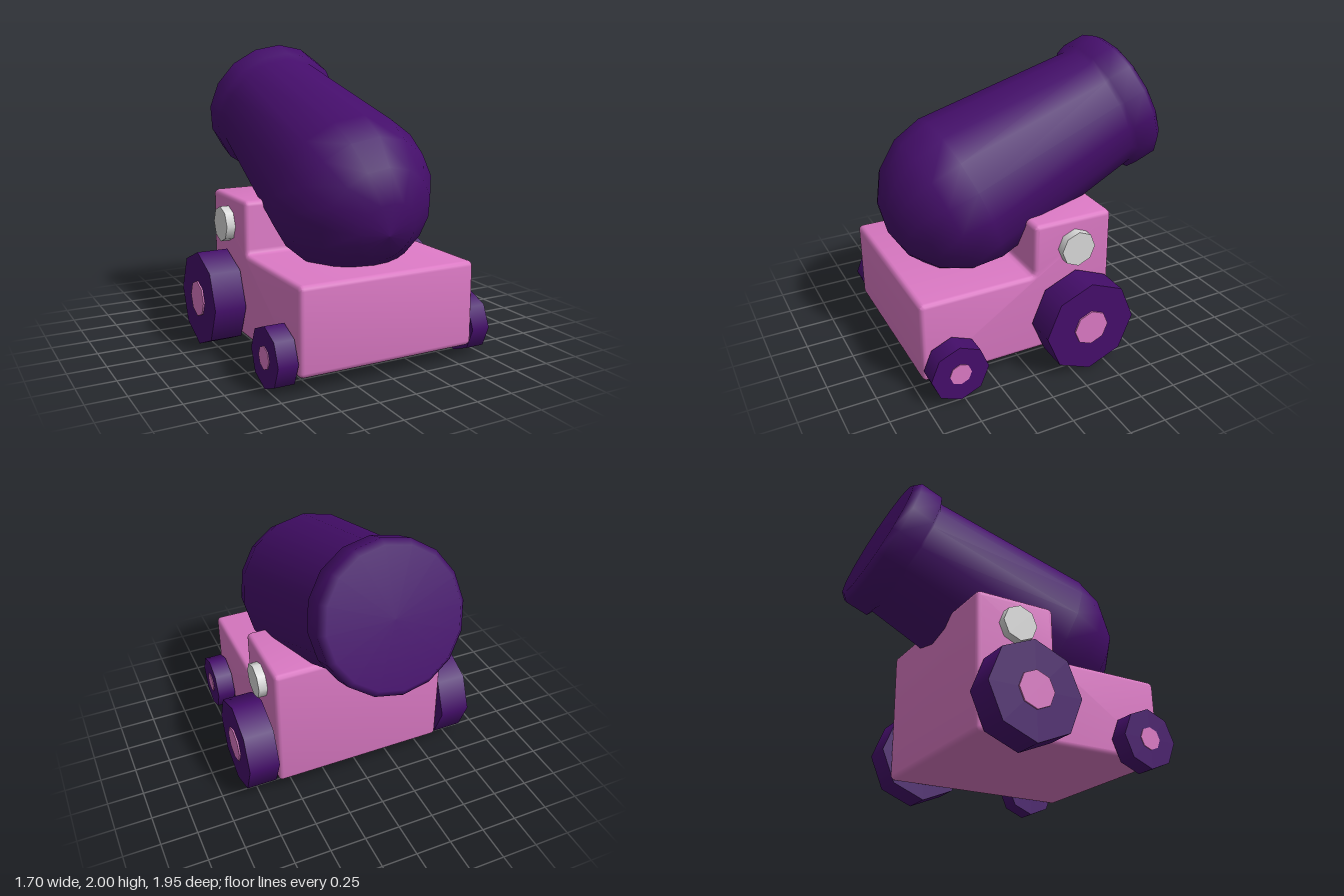
import * as THREE from 'three';
import { toCreasedNormals } from 'three/addons/utils/BufferGeometryUtils.js';

function material(name, color) {
  const m = new THREE.MeshStandardMaterial({ color });
  m.name = name;
  return m;
}

// Octagonal disc lying along x, from x0 to x1
function disc(name, radius, x0, x1, y, z, mat) {
  const geo = new THREE.CylinderGeometry(radius, radius, Math.abs(x1 - x0), 8);
  geo.rotateZ(Math.PI / 2);
  const mesh = new THREE.Mesh(geo, mat);
  mesh.position.set((x0 + x1) / 2, y, z);
  mesh.name = name;
  return mesh;
}

// Closed outline with each corner rounded by its own radius: [x, y, radius]
function roundedOutline(corners) {
  const shape = new THREE.Shape();
  const n = corners.length;
  corners.forEach(([x, y, r], i) => {
    const p = new THREE.Vector2(x, y);
    const toward = ([qx, qy]) => new THREE.Vector2(qx, qy).sub(p).setLength(r).add(p);
    const a = toward(corners[(i + n - 1) % n]);
    const b = toward(corners[(i + 1) % n]);
    if (i === 0) shape.moveTo(a.x, a.y);
    else shape.lineTo(a.x, a.y);
    shape.quadraticCurveTo(x, y, b.x, b.y);
  });
  shape.closePath();
  return shape;
}

export function createModel() {
  const model = new THREE.Group();
  model.name = 'cannon';
  const purple = material('dark purple', 0x450e6b);
  const pink = material('pink', 0xdb79c4);
  const grey = material('light grey', 0xd9d9d9);

  // Carriage: stepped side profile extruded across the width, edges rounded
  const bevel = 0.03;
  const halfWidth = 0.615;
  const outline = roundedOutline([
    [-0.94, 0.13, 0.006], [0.35, 0.13, 0.006], [0.35, 0.985, 0.006],
    [-0.15, 0.985, 0.006], [-0.15, 0.63, 0.065], [-0.94, 0.63, 0.006],
  ]);
  const carriageGeo = new THREE.ExtrudeGeometry(outline, {
    depth: 2 * (halfWidth - bevel), bevelSize: bevel, bevelThickness: bevel,
    bevelSegments: 3, curveSegments: 3,
  });
  carriageGeo.translate(0, 0, -(halfWidth - bevel));
  carriageGeo.rotateY(Math.PI / 2);
  const carriage = new THREE.Mesh(toCreasedNormals(carriageGeo, 0.7), pink);
  carriage.name = 'carriage';
  model.add(carriage);

  // Barrel: domed breech, tapering tube and closed muzzle ring
  const profile = [];
  for (let i = 0; i <= 4; i++) {
    const a = (i / 4) * Math.PI / 2;
    profile.push(new THREE.Vector2(0.54 * Math.sin(a), -0.01 - 0.545 * Math.cos(a)));
  }
  [[0.44, 1.105], [0.48, 1.128], [0.48, 1.288], [0.438, 1.333], [0, 1.333]]
    .forEach(([r, t]) => profile.push(new THREE.Vector2(r, t)));
  const barrel = new THREE.Mesh(new THREE.LatheGeometry(profile, 16), purple);
  barrel.position.set(0, 1.083, 0.425);
  barrel.rotation.x = -1.197;
  barrel.name = 'barrel';
  model.add(barrel);

  // Wheels, hubs and pivot bolts on both sides
  for (const [side, s] of [['left', 1], ['right', -1]]) {
    model.add(
      disc(side + 'LargeWheel', 0.32, s * 0.628, s * 0.84, 0.322, -0.115, purple),
      disc(side + 'LargeHub', 0.122, s * 0.58, s * 0.85, 0.322, -0.115, pink),
      disc(side + 'SmallWheel', 0.195, s * 0.625, s * 0.755, 0.197, 0.775, purple),
      disc(side + 'SmallHub', 0.074, s * 0.58, s * 0.76, 0.197, 0.775, pink),
      disc(side + 'PivotBolt', 0.12, s * 0.58, s * 0.675, 0.82, -0.107, grey),
    );
  }
  return model;
}
